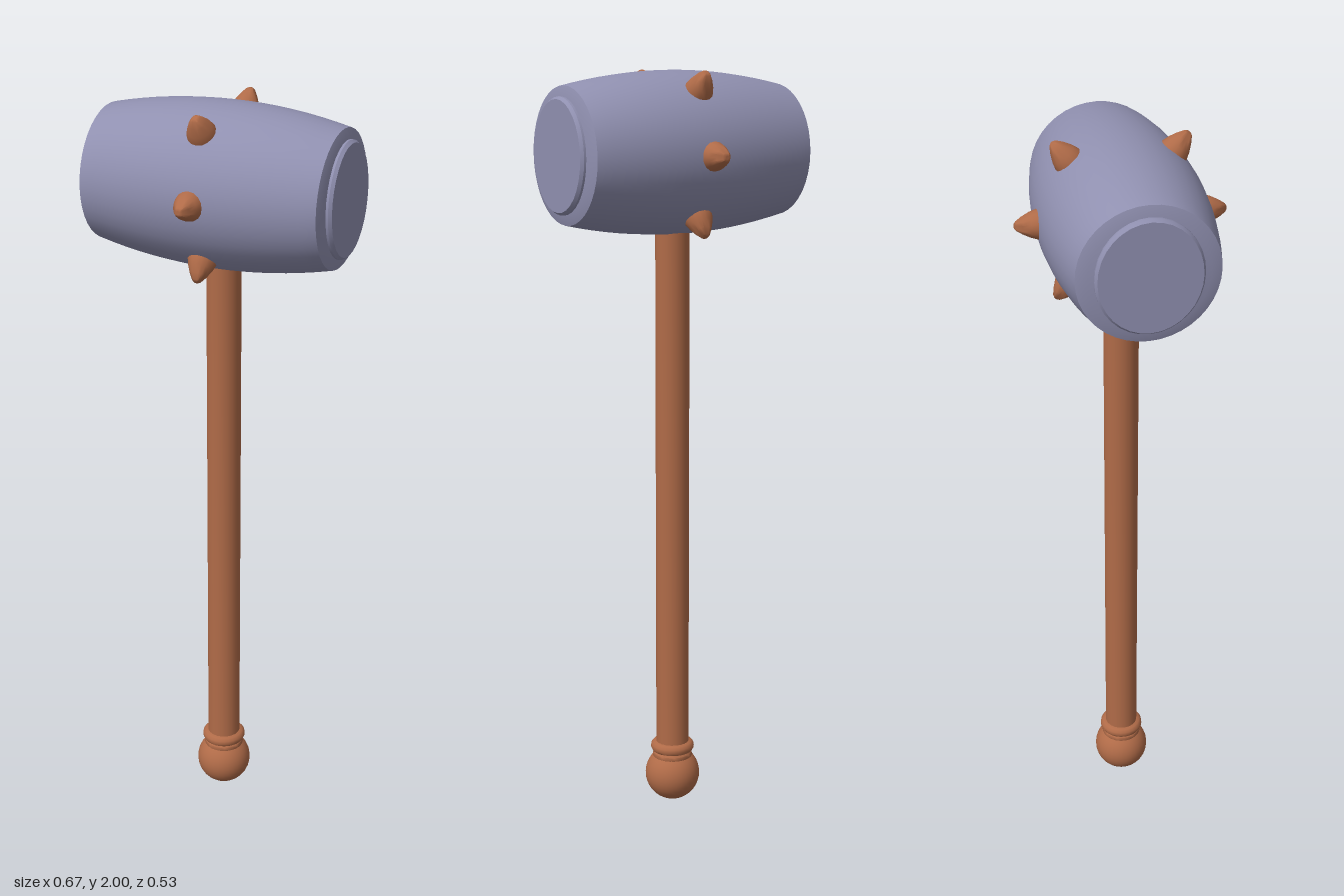
import * as THREE from 'three';
import { toCreasedNormals } from 'three/addons/utils/BufferGeometryUtils.js';

const wood = new THREE.MeshStandardMaterial({ name: 'reddish wood', color: 0xb06b48 });
const stone = new THREE.MeshStandardMaterial({ name: 'blue grey', color: 0x9090b0 });

// Revolve [radius, height] pairs about y, keeping strong edges sharp
function turned(name, profile, sides, material, crease = 0.6) {
  const points = profile.map(([r, y]) => new THREE.Vector2(r, y));
  const geometry = toCreasedNormals(new THREE.LatheGeometry(points, sides), crease);
  const mesh = new THREE.Mesh(geometry, material);
  mesh.name = name;
  return mesh;
}

export function createModel() {
  const model = new THREE.Group();
  model.name = 'spikedMallet';

  // Handle shaft
  model.add(turned('handle', [[0, 0.12], [0.045, 0.12], [0.045, 1.62], [0, 1.62]], 20, wood));

  // Round pommel
  const pommel = new THREE.Mesh(new THREE.SphereGeometry(0.075, 32, 20), wood);
  pommel.name = 'pommel';
  pommel.position.y = 0.078;
  model.add(pommel);

  // Collar of two rounded rings
  model.add(turned('collar', [
    [0.04, 0.12], [0.05, 0.124], [0.055, 0.132], [0.053, 0.14], [0.048, 0.145],
    [0.056, 0.148], [0.06, 0.156], [0.059, 0.165], [0.053, 0.172], [0.044, 0.174],
  ], 28, wood, 1));

  // Barrel head with its axis along x
  const head = new THREE.Group();
  head.name = 'head';
  head.position.y = 1.79;
  model.add(head);

  const barrelProfile = [[0, -0.32], [0.145, -0.32]];
  for (let i = 0; i <= 16; i++) {
    const t = i / 8 - 1;
    barrelProfile.push([0.208 - 0.036 * t * t, 0.312 * t]);
  }
  barrelProfile.push([0.145, 0.32], [0, 0.32]);
  const barrel = turned('barrel', barrelProfile, 40, stone);
  barrel.rotation.z = -Math.PI / 2;
  head.add(barrel);

  // Raised striking faces, slightly taller than wide
  for (const side of [-1, 1]) {
    const face = turned('strikingFace',
      [[0.135, 0.31], [0.135, 0.326], [0.129, 0.334], [0, 0.334]], 32, stone);
    face.rotation.z = -side * Math.PI / 2;
    face.scale.set(1.08, 1, 0.96);
    head.add(face);
  }

  // Ring of six blunt spikes around the middle
  const spikeProfile = [
    [0.038, 0.185], [0.037, 0.205], [0.031, 0.223], [0.021, 0.243],
    [0.011, 0.258], [0.005, 0.262], [0, 0.263],
  ];
  for (const degrees of [0, 51, 129, 180, 231, 309]) {
    const spike = turned('spike', spikeProfile, 16, wood, 1);
    spike.rotation.x = Math.PI / 2 - THREE.MathUtils.degToRad(degrees);
    head.add(spike);
  }

  return model;
}
